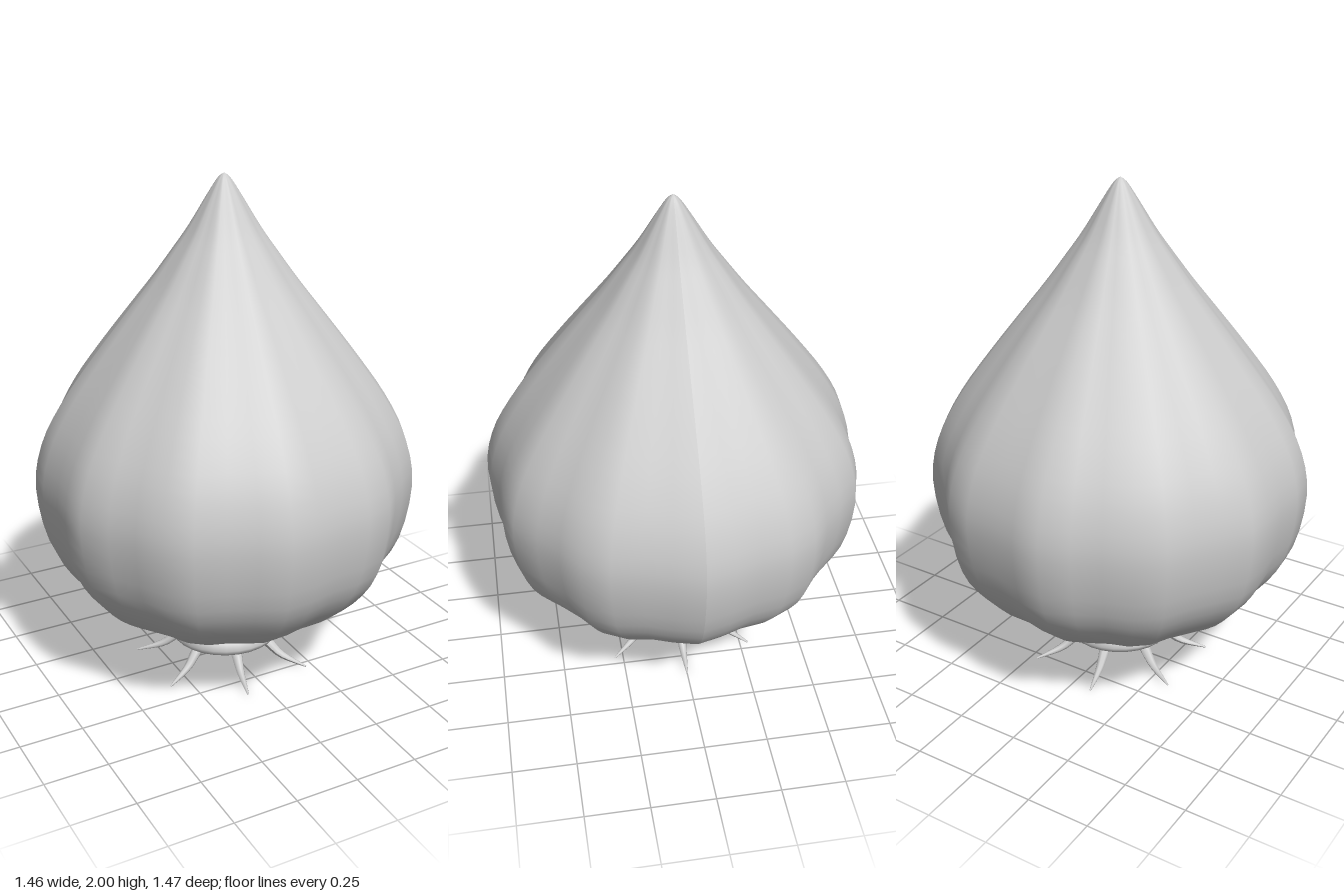
import * as THREE from 'three';

const CENTRE_X = -0.008;
const LOBES = 11;
const ROOTS = 7;

// Teardrop bulb: a lathe whose radius swells into soft vertical lobes
function makeBulb() {
  const outline = [
    [0, 0.16], [0.17, 0.168], [0.29, 0.205], [0.465, 0.3], [0.6, 0.415], [0.695, 0.57],
    [0.735, 0.8], [0.705, 0.98], [0.625, 1.14], [0.505, 1.31], [0.37, 1.485],
    [0.28, 1.6], [0.2, 1.71], [0.137, 1.8], [0.07, 1.91], [0.025, 1.98], [0, 2],
  ].map(([r, y]) => new THREE.Vector2(r, y));
  const profile = new THREE.SplineCurve(outline).getPoints(48);
  profile[profile.length - 1].x = 0;
  const geometry = new THREE.LatheGeometry(profile, 40, Math.PI / 2);
  const pos = geometry.attributes.position;
  for (let i = 0; i < pos.count; i++) {
    const x = pos.getX(i), z = pos.getZ(i);
    const k = 0.985 + 0.025 * Math.cos(LOBES * Math.atan2(z, x));
    pos.setX(i, x * k);
    pos.setZ(i, z * k);
  }
  geometry.computeVertexNormals();
  return geometry;
}

// Curved root that tapers to a point, running outward along +x
function makeRoot() {
  const steps = 10, sides = 8;
  const curve = new THREE.CatmullRomCurve3([
    new THREE.Vector3(0.13, 0.115, 0),
    new THREE.Vector3(0.19, 0.085, 0),
    new THREE.Vector3(0.25, 0.038, 0),
    new THREE.Vector3(0.365, 0.004, 0),
  ]);
  const geometry = new THREE.TubeGeometry(curve, steps, 0.026, sides);
  const pos = geometry.attributes.position;
  const p = new THREE.Vector3();
  for (let i = 0; i < pos.count; i++) {
    const t = Math.floor(i / (sides + 1)) / steps;
    const centre = curve.getPointAt(t);
    p.fromBufferAttribute(pos, i).sub(centre).multiplyScalar(1 - 0.88 * t ** 1.3).add(centre);
    pos.setXYZ(i, p.x, Math.max(p.y, 0), p.z);
  }
  geometry.computeVertexNormals();
  return geometry;
}

export function createModel() {
  const model = new THREE.Group();
  model.name = 'bulb with roots';
  const grey = new THREE.MeshStandardMaterial({ color: 0xcccccc });
  grey.name = 'pale grey';

  const add = (name, geometry) => {
    const mesh = new THREE.Mesh(geometry, grey);
    mesh.name = name;
    mesh.position.x = CENTRE_X;
    model.add(mesh);
    return mesh;
  };

  add('bulb', makeBulb());

  // Squashed ring under the bulb, with only a pinhole in its middle
  const ring = new THREE.TorusGeometry(0.122, 0.11, 12, 28);
  ring.rotateX(-Math.PI / 2);
  ring.scale(1, 0.45, 1);
  ring.translate(0, 0.126, 0);
  add('rootPlate', ring);

  // Roots spread evenly round the ring
  const root = makeRoot();
  for (let i = 0; i < ROOTS; i++) {
    add('root', root).rotation.y = -(i * Math.PI * 2) / ROOTS;
  }
  return model;
}
